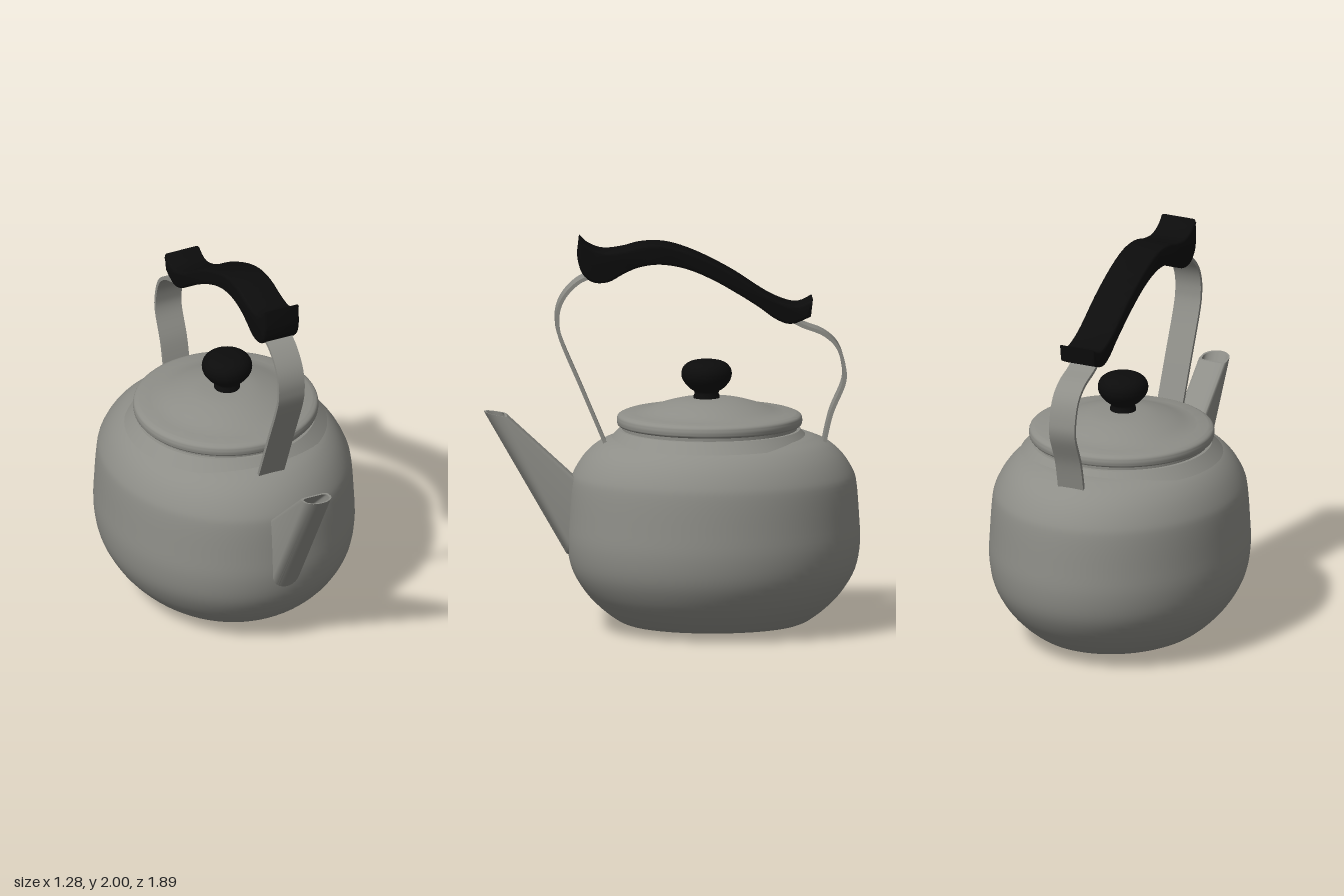
import * as THREE from 'three';
import { toCreasedNormals } from 'three/addons/utils/BufferGeometryUtils.js';

export function createModel() {
  const steel = new THREE.MeshStandardMaterial({ color: 0x8e8e88, side: THREE.DoubleSide });
  steel.name = 'brushed steel';
  const black = new THREE.MeshStandardMaterial({ color: 0x0c0c0c });
  black.name = 'black plastic';

  const group = new THREE.Group();
  group.name = 'kettle';

  const add = (name, geometry, material, crease = 0.6) => {
    const mesh = new THREE.Mesh(toCreasedNormals(geometry, crease), material);
    mesh.name = name;
    group.add(mesh);
    return mesh;
  };
  const vec = (pts) => pts.map(([x, y]) => new THREE.Vector2(x, y));
  const smooth = (pts, n) => new THREE.SplineCurve(vec(pts)).getPoints(n);
  // Side outline given as (z, y), extruded across x and centred
  const sideExtrude = (outline, width, bevel) => {
    const geo = new THREE.ExtrudeGeometry(new THREE.Shape(outline), {
      depth: width - 2 * bevel, bevelEnabled: bevel > 0, bevelThickness: bevel,
      bevelSize: bevel, bevelOffset: -bevel, bevelSegments: 3,
    });
    geo.translate(0, 0, -(width - 2 * bevel) / 2);
    geo.rotateY(-Math.PI / 2);
    return geo;
  };

  // Oval body with a shallow conical base
  const bodyWall = smooth([
    [0.38, 0.035], [0.42, 0.055], [0.49, 0.115], [0.56, 0.2], [0.615, 0.31], [0.637, 0.44],
    [0.633, 0.58], [0.622, 0.74], [0.605, 0.81], [0.56, 0.89], [0.5, 0.95], [0.43, 0.985],
  ], 44);
  const body = new THREE.LatheGeometry([...vec([[0, 0]]), ...bodyWall, ...vec([[0.38, 0.995], [0, 1]])], 72);
  body.scale(1, 1, 0.736 / 0.637);
  add('body', body, steel).position.z = -0.21;

  // Round collar under the lid
  add('collar', new THREE.LatheGeometry(vec([
    [0.4, 0.955], [0.51, 0.96], [0.455, 1.018], [0.4, 1.022],
  ]), 72), steel).position.z = -0.19;

  // Lid with rolled rim and low dome
  const lidRim = smooth([[0.44, 1.035], [0.461, 1.042], [0.466, 1.065], [0.46, 1.088], [0.435, 1.1]], 14);
  const lidDome = smooth([[0.38, 1.103], [0.33, 1.115], [0.25, 1.143], [0.16, 1.167], [0.08, 1.176], [0, 1.178]], 20);
  add('lid', new THREE.LatheGeometry([
    ...vec([[0.36, 1.0], [0.44, 1.015]]), ...lidRim, ...lidDome,
  ], 72), steel).position.z = -0.19;

  // Mushroom-shaped lid knob
  const knobCap = smooth([
    [0.063, 1.212], [0.09, 1.23], [0.118, 1.265], [0.127, 1.3], [0.117, 1.333], [0.09, 1.356], [0.05, 1.367], [0, 1.37],
  ], 28);
  add('lidKnob', new THREE.LatheGeometry([
    ...vec([[0, 1.165], [0.066, 1.165], [0.066, 1.185], [0.06, 1.2]]), ...knobCap,
  ], 40), black, 0.9).position.z = -0.175;

  // Flat metal straps that carry the grip
  const strap = (name, path) => {
    const curve = new THREE.SplineCurve(vec(path));
    const near = [], far = [];
    for (let i = 0; i <= 40; i++) {
      const p = curve.getPoint(i / 40), t = curve.getTangent(i / 40);
      const n = new THREE.Vector2(-t.y, t.x).multiplyScalar(0.009);
      near.push(p.clone().add(n));
      far.unshift(p.clone().sub(n));
    }
    add(name, sideExtrude([...near, ...far], 0.142, 0), steel);
  };
  strap('frontStrap', [
    [0.335, 0.95], [0.455, 1.235], [0.555, 1.47], [0.577, 1.57], [0.568, 1.65], [0.53, 1.72], [0.465, 1.78], [0.39, 1.81],
  ]);
  strap('backStrap', [
    [-0.762, 0.935], [-0.8, 1.1], [-0.862, 1.25], [-0.863, 1.34], [-0.83, 1.44], [-0.76, 1.505], [-0.66, 1.545], [-0.59, 1.58],
  ]);

  // Curved grip with flared ends
  const gripTop = smooth([
    [0.463, 1.997], [0.415, 1.955], [0.34, 1.93], [0.245, 1.94], [0.167, 1.96], [0.077, 1.966], [-0.02, 1.95],
    [-0.15, 1.9], [-0.31, 1.815], [-0.47, 1.71], [-0.575, 1.662], [-0.643, 1.655], [-0.706, 1.685],
  ], 48);
  const gripBottom = smooth([
    [-0.696, 1.597], [-0.6, 1.56], [-0.52, 1.585], [-0.44, 1.643], [-0.336, 1.71], [-0.204, 1.786], [-0.07, 1.843],
    [0.06, 1.866], [0.167, 1.853], [0.246, 1.82], [0.325, 1.778], [0.405, 1.78], [0.458, 1.83], [0.474, 1.9],
  ], 48);
  add('grip', sideExtrude([...gripTop, ...gripBottom], 0.194, 0.014), black, 0.7);

  // Spout: U-shaped sections from upper rear edge a to lower front edge b, as (z, y)
  const section = (a, b, half) => {
    const len = Math.hypot(b[0] - a[0], b[1] - a[1]);
    const depth = Math.min(half, len * 0.6);
    const corner = 0.02;
    const ring = [];
    const arc = (cx, cd, rx, rd, from, to, n) => {
      for (let i = 0; i <= n; i++) {
        const q = from + (to - from) * i / n;
        ring.push([cx + rx * Math.cos(q), cd + rd * Math.sin(q)]);
      }
    };
    arc(0, len - depth, half, depth, 0, Math.PI, 20);
    arc(corner - half, corner, corner, corner, Math.PI, Math.PI * 1.5, 4);
    arc(half - corner, corner, corner, corner, Math.PI * 1.5, Math.PI * 2, 4);
    return ring.map(([x, d]) => [x, a[1] + (b[1] - a[1]) * d / len, a[0] + (b[0] - a[0]) * d / len]);
  };
  const rings = [
    section([0.45, 0.76], [0.48, 0.37], 0.075),
    section([0.5, 0.79], [0.53, 0.39], 0.075),
    section([0.83, 1.095], [0.945, 1.115], 0.075),
    section([0.842, 1.096], [0.933, 1.113], 0.064),
    section([0.5, 0.772], [0.522, 0.42], 0.064),
  ];
  const count = rings[0].length;
  const index = [];
  for (let r = 0; r < rings.length - 1; r++) {
    for (let i = 0; i < count; i++) {
      const a = r * count + i, b = r * count + (i + 1) % count;
      index.push(a, a + count, b, b, a + count, b + count);
    }
  }
  const spout = new THREE.BufferGeometry();
  spout.setAttribute('position', new THREE.Float32BufferAttribute(rings.flat(2), 3));
  // Wind the faces so the outer wall looks outward
  const corners = [0, 1, 2].map((k) => new THREE.Vector3().fromArray(rings.flat()[index[count * 6 + 60 + k]]));
  const facing = corners[1].clone().sub(corners[0]).cross(corners[2].clone().sub(corners[0]));
  if (facing.z < 0) index.reverse();
  spout.setIndex(index);
  add('spout', spout, steel);

  return group;
}
